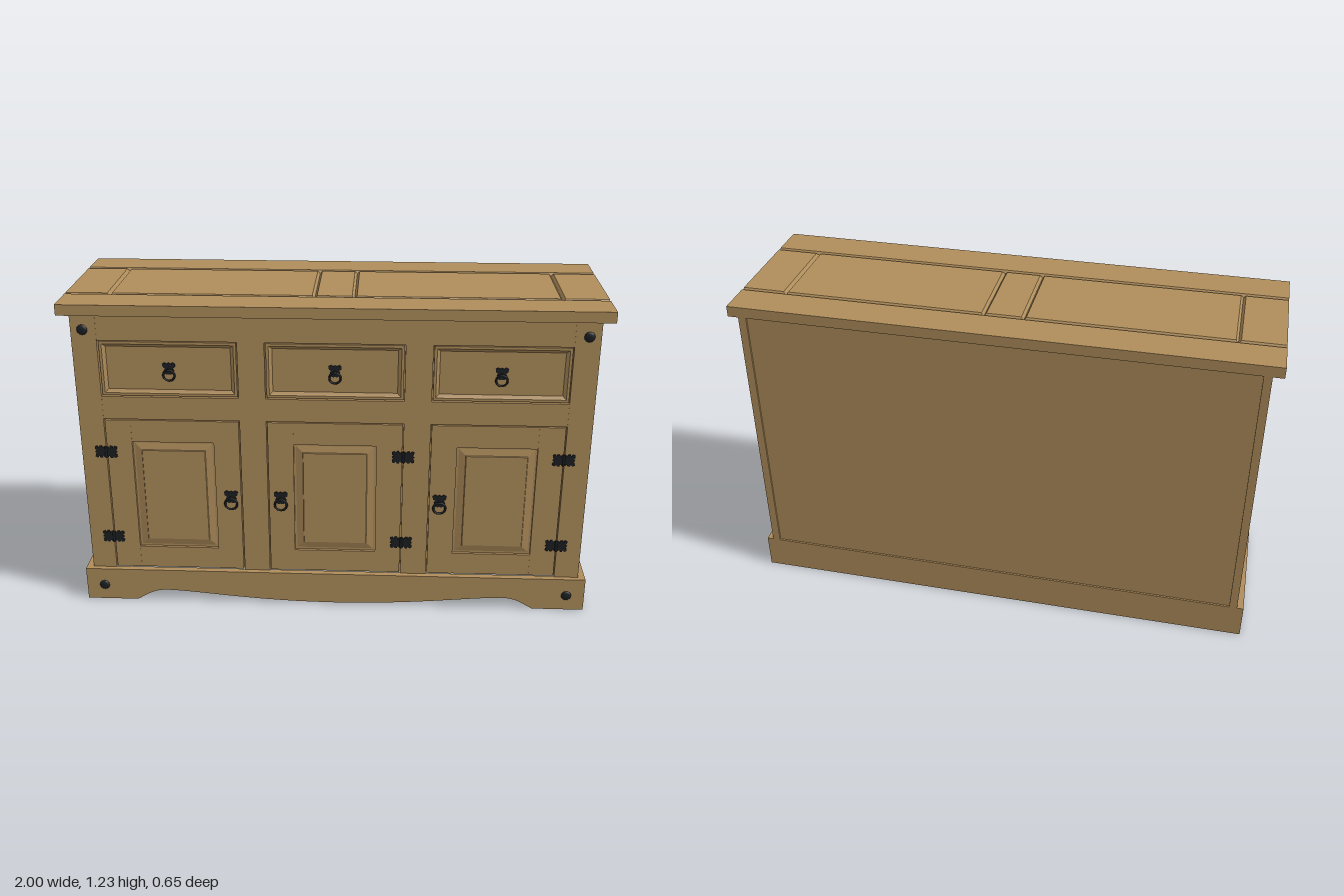
import * as THREE from 'three';

export function createModel() {
  const root = new THREE.Group();
  root.name = 'sideboard';
  const wood = new THREE.MeshStandardMaterial({ color: 0xb08e5c });
  wood.name = 'waxed pine';
  const iron = new THREE.MeshStandardMaterial({ color: 0x1c2023 });
  iron.name = 'black iron';

  const add = (name, geo, mat = wood, parent = root) => {
    const m = new THREE.Mesh(geo, mat);
    m.name = name;
    parent.add(m);
    return m;
  };
  // Box given by its limits
  const box = (name, x0, x1, y0, y1, z0, z1, parent = root) => {
    const g = new THREE.BoxGeometry(x1 - x0, y1 - y0, z1 - z0);
    g.translate((x0 + x1) / 2, (y0 + y1) / 2, (z0 + z1) / 2);
    return add(name, g, wood, parent);
  };
  // Rectangular board with stepped or bevelled rim: levels are [inset, z];
  // sides switches the inset on or off for left, right, bottom, top
  const profiled = (x0, x1, y0, y1, levels, sides = [1, 1, 1, 1]) => {
    const [l, r, b, t] = sides;
    const loops = levels.map(([d, z]) => [
      [x0 + d * l, y0 + d * b, z], [x1 - d * r, y0 + d * b, z],
      [x1 - d * r, y1 - d * t, z], [x0 + d * l, y1 - d * t, z]]);
    const pos = [];
    const quad = (p, q, s, u) => pos.push(...p, ...q, ...s, ...p, ...s, ...u);
    for (let k = 0; k + 1 < loops.length; k++)
      for (let i = 0; i < 4; i++) {
        const j = (i + 1) % 4;
        quad(loops[k][i], loops[k][j], loops[k + 1][j], loops[k + 1][i]);
      }
    quad(...loops[loops.length - 1]);
    const g = new THREE.BufferGeometry();
    g.setAttribute('position', new THREE.Float32BufferAttribute(pos, 3));
    g.computeVertexNormals();
    return g;
  };

  // Carcass
  box('carcass', -0.93, 0.93, 0.135, 1.185, -0.318, 0.28);
  for (const s of [-1, 1]) {
    const [a, b] = s < 0 ? [-0.96, -0.93] : [0.93, 0.96];
    box('sidePanel', a, b, 0.135, 1.185, -0.325, 0.28);
    const [c, d] = s < 0 ? [-0.958, -0.865] : [0.865, 0.958];
    box('frontStile', c, d, 0.135, 1.185, 0.28, 0.3);
  }
  box('topRail', -0.865, 0.865, 1.085, 1.185, 0.28, 0.299);
  box('middleRail', -0.865, 0.865, 0.775, 0.865, 0.28, 0.299);
  for (const [a, b] of [[-0.352, -0.252], [0.262, 0.362]]) {
    box('upperDivider', a, b, 0.865, 1.085, 0.28, 0.299);
    box('lowerDivider', a, b, 0.135, 0.775, 0.28, 0.299);
  }

  // Top: base slab with chamfered planks forming V grooves
  box('topSlab', -1, 1, 1.185, 1.214, -0.325, 0.325);
  const plank = (name, x0, x1, y0, y1, sides) => {
    const g = profiled(x0, x1, y0, y1, [[0, 1.214], [0.009, 1.226]], sides);
    g.rotateX(-Math.PI / 2);
    add(name, g);
  };
  plank('topFrontPlank', -1, 1, -0.325, -0.178, [0, 0, 0, 1]);
  plank('topBackPlank', -1, 1, 0.178, 0.325, [0, 0, 1, 0]);
  const cuts = [-1, -0.835, -0.075, 0.072, 0.832, 1];
  for (let i = 0; i < 5; i++)
    plank('topInnerPlank', cuts[i], cuts[i + 1], -0.178, 0.178, [i > 0 ? 1 : 0, i < 4 ? 1 : 0, 1, 1]);

  // Plinth, open underneath, with a scalloped front board
  const apron = new THREE.Shape();
  apron.moveTo(-0.985, 0);
  apron.lineTo(-0.785, 0);
  apron.bezierCurveTo(-0.74, 0.025, -0.72, 0.046, -0.66, 0.046);
  apron.bezierCurveTo(-0.52, 0.042, -0.32, 0.006, 0, 0.006);
  apron.bezierCurveTo(0.32, 0.006, 0.52, 0.042, 0.66, 0.046);
  apron.bezierCurveTo(0.72, 0.046, 0.74, 0.025, 0.785, 0);
  apron.lineTo(0.985, 0);
  apron.lineTo(0.985, 0.135);
  apron.lineTo(-0.985, 0.135);
  const apronGeo = new THREE.ExtrudeGeometry(apron, { depth: 0.025, bevelEnabled: false, curveSegments: 12 });
  apronGeo.translate(0, 0, 0.295);
  add('plinthFront', apronGeo);
  box('plinthBack', -0.985, 0.985, 0, 0.135, -0.325, -0.3);
  box('plinthLeft', 0.96, 0.985, 0, 0.135, -0.3, 0.295);
  box('plinthRight', -0.985, -0.96, 0, 0.135, -0.3, 0.295);

  // Ornate iron plate: half outline mirrored left to right
  const ironPlate = (half, depth) => {
    const pts = [...half, ...half.map(([x, y]) => [-x, y]).reverse()];
    const shape = new THREE.Shape(pts.map(([x, y]) => new THREE.Vector2(x, y)));
    return new THREE.ExtrudeGeometry(shape, { depth, bevelEnabled: false });
  };

  // Butterfly hinge
  const hingeGeo = ironPlate([[0, -0.021], [0.008, -0.021], [0.011, -0.015], [0.016, -0.024],
    [0.024, -0.024], [0.027, -0.017], [0.033, -0.024], [0.042, -0.02], [0.041, -0.011],
    [0.034, -0.007], [0.042, 0], [0.034, 0.007], [0.041, 0.011], [0.042, 0.02],
    [0.033, 0.024], [0.027, 0.017], [0.024, 0.024], [0.016, 0.024], [0.011, 0.015],
    [0.008, 0.021], [0, 0.021]], 0.005);
  const hinge = (x, y) => {
    const g = new THREE.Group();
    g.name = 'hinge';
    add('hingePlate', hingeGeo, iron, g);
    add('hingeKnuckle', new THREE.CylinderGeometry(0.005, 0.005, 0.046, 8), iron, g).position.z = 0.004;
    g.position.set(x, y, 0.3);
    root.add(g);
  };

  // Ring pull with back plate
  const pullGeo = ironPlate([[0, -0.012], [0.008, -0.014], [0.018, -0.008], [0.02, 0.002],
    [0.015, 0.012], [0.024, 0.018], [0.025, 0.03], [0.016, 0.036], [0.007, 0.031], [0, 0.035]], 0.004);
  const ringPull = (x, y, z, s) => {
    const g = new THREE.Group();
    g.name = 'ringPull';
    add('pullPlate', pullGeo, iron, g);
    const boss = new THREE.CylinderGeometry(0.006, 0.008, 0.012, 10);
    boss.rotateX(Math.PI / 2);
    add('pullBoss', boss, iron, g).position.set(0, 0.006, 0.006);
    add('pullRing', new THREE.TorusGeometry(0.022, 0.004, 6, 20), iron, g).position.set(0, -0.015, 0.009);
    g.position.set(x, y, z);
    g.scale.setScalar(s);
    root.add(g);
  };

  // Drawers with a recessed, bevelled centre
  for (const [a, b] of [[-0.86, -0.356], [-0.247, 0.258], [0.366, 0.862]]) {
    add('drawerFront', profiled(a, b, 0.87, 1.081,
      [[0, 0.28], [0, 0.297], [0.01, 0.297], [0.014, 0.292], [0.022, 0.286]]));
    ringPull((a + b) / 2, 0.965, 0.286, 0.95);
  }

  // Doors: stiles, rails and a raised panel
  for (const [a, b, hingeX, pullX] of [[-0.861, -0.356, -0.865, -0.395],
    [-0.248, 0.258, 0.262, -0.203], [0.366, 0.861, 0.862, 0.405]]) {
    const g = new THREE.Group();
    g.name = 'door';
    root.add(g);
    const l = a + 0.097, r = b - 0.097;
    box('doorStile', a, l, 0.14, 0.771, 0.28, 0.3, g);
    box('doorStile', r, b, 0.14, 0.771, 0.28, 0.3, g);
    box('doorBottomRail', l, r, 0.14, 0.23, 0.28, 0.299, g);
    box('doorTopRail', l, r, 0.682, 0.771, 0.28, 0.299, g);
    add('doorPanel', profiled(l, r, 0.23, 0.682,
      [[0, 0.288], [0.008, 0.288], [0.034, 0.294], [0.036, 0.298]]), wood, g);
    for (const y of [0.275, 0.64]) hinge(hingeX, y);
    ringPull(pullX, 0.447, 0.3, 1.05);
  }

  // Domed studs at the corners
  const dome = new THREE.SphereGeometry(0.02, 12, 5, 0, Math.PI * 2, 0, Math.PI / 2);
  dome.rotateX(Math.PI / 2);
  dome.scale(1, 1, 0.42);
  for (const x of [-0.915, 0.915])
    for (const [y, z] of [[1.125, 0.3], [0.063, 0.32]])
      add('stud', dome, iron).position.set(x, y, z);

  return root;
}
